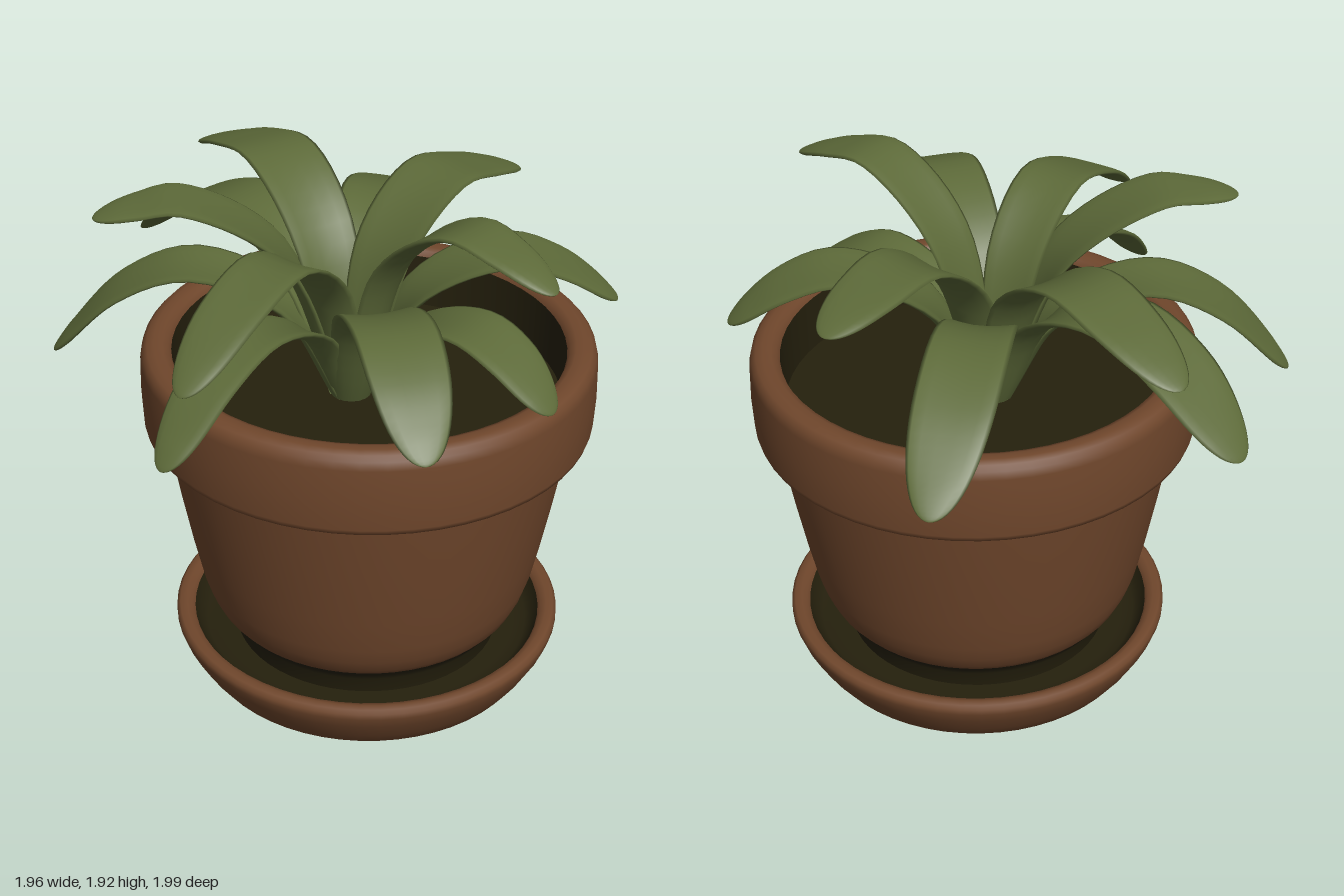
import * as THREE from 'three';

const terracotta = new THREE.MeshStandardMaterial({ color: 0x70472c });
terracotta.name = 'terracotta';
const soilDark = new THREE.MeshStandardMaterial({ color: 0x25200d });
soilDark.name = 'dark soil';
const leafGreen = new THREE.MeshStandardMaterial({ color: 0x5d6a39 });
leafGreen.name = 'leaf green';

// Turned part from a profile of [radius, height] pairs
function turned(name, profile, material) {
  const points = profile.map(([r, y]) => new THREE.Vector2(r, y));
  const mesh = new THREE.Mesh(new THREE.LatheGeometry(points, 56), material);
  mesh.name = name;
  return mesh;
}

const CROWN = new THREE.Vector3(-0.02, 1.08, 0.12);
const RINGS = 30, SIDES = 14;

// Half width along the leaf: narrow neck, broad blade, blunt tip
function bladeWidth(t) {
  if (t < 0.65) return 0.42 + 0.58 * Math.sin((t / 0.65) * Math.PI / 2);
  return Math.max(0.02, Math.sqrt(1 - Math.pow((t - 0.65) / 0.35, 2.5)));
}

// Arching leaf: a cupped lens section swept from the crown over a peak to the tip
function leaf({ x, z, y, peak, at, width, bend = 0 }) {
  const dx = x - CROWN.x, dz = z - CROWN.z;
  const reach = Math.hypot(dx, dz);
  const out = new THREE.Vector3(dx / reach, 0, dz / reach);
  const side = new THREE.Vector3(-out.z, 0, out.x);
  const point = (f, h) => CROWN.clone().addScaledVector(out, f * reach)
    .addScaledVector(side, bend * Math.sin(f * Math.PI)).setY(h);
  const curve = new THREE.CatmullRomCurve3([
    point(0.03, CROWN.y),
    point(at * 0.42, CROWN.y + (peak - CROWN.y) * 0.74),
    point(at, peak),
    point((1 + at) / 2, y + (peak - y) * 0.74),
    point(1, y),
  ]);
  const positions = [], index = [];
  for (let i = 0; i <= RINGS; i++) {
    // Rings gather towards the tip for a clean round end
    const t = Math.sin((i / RINGS) * Math.PI / 2);
    const c = curve.getPointAt(t), tangent = curve.getTangentAt(t);
    const normal = side.clone().cross(tangent).normalize();
    const w = bladeWidth(t) * width / 2;
    const thick = 0.017 * Math.min(1, bladeWidth(t) * 1.6);
    const cup = 0.38 * (1 - t);
    for (let j = 0; j < SIDES; j++) {
      const a = (j / SIDES) * Math.PI * 2;
      const p = c.clone()
        .addScaledVector(side, w * Math.cos(a))
        .addScaledVector(normal, thick * Math.sin(a) + cup * w * (Math.cos(a) ** 2 - 0.5));
      positions.push(p.x, p.y, p.z);
      if (i < RINGS) {
        const k = (j + 1) % SIDES, r = i * SIDES, s = r + SIDES;
        index.push(r + j, s + j, r + k, s + j, s + k, r + k);
      }
    }
  }
  // Close the tip
  const last = RINGS * SIDES;
  for (let j = 1; j < SIDES - 1; j++) index.push(last, last + j, last + j + 1);
  const geometry = new THREE.BufferGeometry();
  geometry.setAttribute('position', new THREE.Float32BufferAttribute(positions, 3));
  geometry.setIndex(index);
  geometry.computeVertexNormals();
  const mesh = new THREE.Mesh(geometry, leafGreen);
  mesh.name = 'leaf';
  return mesh;
}

export function createModel() {
  const model = new THREE.Group();
  model.name = 'pottedPlant';

  const pot = new THREE.Group();
  pot.name = 'pot';
  pot.position.set(0.02, 0, 0.167);
  model.add(pot);

  // Saucer with a dark hollow
  pot.add(turned('saucer', [
    [0, 0], [0.55, 0], [0.575, 0.006], [0.605, 0.03], [0.645, 0.085], [0.685, 0.155],
    [0.702, 0.2], [0.702, 0.222], [0.69, 0.235], [0.665, 0.237], [0.645, 0.23], [0.635, 0.215],
  ], terracotta));
  pot.add(turned('saucerHollow', [
    [0.635, 0.215], [0.615, 0.175], [0.59, 0.16], [0.55, 0.155], [0, 0.155],
  ], soilDark));

  // Pot body with a dark foot
  pot.add(turned('potFoot', [[0.48, 0.15], [0.495, 0.22], [0.515, 0.25], [0.535, 0.275]], soilDark));
  pot.add(turned('potBody', [
    [0.535, 0.275], [0.56, 0.305], [0.584, 0.355], [0.605, 0.42], [0.634, 0.55],
    [0.671, 0.74], [0.703, 0.92], [0.721, 1.04],
  ], terracotta));

  // Thick rolled rim
  pot.add(turned('potRim', [
    [0.7, 1.03], [0.77, 1.026], [0.785, 1.031], [0.791, 1.05], [0.797, 1.16], [0.795, 1.28],
    [0.788, 1.31], [0.772, 1.327], [0.747, 1.335], [0.717, 1.333], [0.697, 1.325], [0.687, 1.305],
  ], terracotta));
  pot.add(turned('innerWall', [[0.687, 1.305], [0.682, 1.2], [0.677, 1.11]], soilDark));
  pot.add(turned('soil', [[0.678, 1.11], [0.4, 1.11], [0, 1.11]], soilDark));

  // Short rounded stem joining the leaves
  const stem = new THREE.Mesh(new THREE.CapsuleGeometry(0.07, 0.12, 6, 16), leafGreen);
  stem.name = 'stem';
  stem.position.set(CROWN.x, 1.16, CROWN.z);
  model.add(stem);

  // Leaves: tip position, peak height, where the peak falls, blade width, sideways bend
  const plant = new THREE.Group();
  plant.name = 'leaves';
  [
    { x: 0.11, z: -1.0, y: 1.34, peak: 1.65, at: 0.5, width: 0.31 },
    { x: 0.31, z: -0.88, y: 1.67, peak: 1.81, at: 0.5, width: 0.28, bend: 0.02 },
    { x: -0.64, z: -0.73, y: 1.23, peak: 1.58, at: 0.52, width: 0.28 },
    { x: -0.66, z: -0.47, y: 1.83, peak: 1.87, at: 0.66, width: 0.27, bend: 0.02 },
    { x: 0.97, z: -0.38, y: 1.33, peak: 1.64, at: 0.45, width: 0.28, bend: -0.03 },
    { x: 0.8, z: 0.18, y: 1.72, peak: 1.81, at: 0.5, width: 0.29 },
    { x: 0.61, z: 0.79, y: 1.47, peak: 1.65, at: 0.57, width: 0.29 },
    { x: -0.04, z: 0.99, y: 1.81, peak: 1.905, at: 0.56, width: 0.23 },
    { x: 0.01, z: 0.97, y: 1.34, peak: 1.54, at: 0.58, width: 0.26 },
    { x: -0.66, z: 0.98, y: 1.46, peak: 1.69, at: 0.57, width: 0.28 },
    { x: -0.98, z: 0.14, y: 1.24, peak: 1.54, at: 0.5, width: 0.23 },
    { x: -0.96, z: 0.22, y: 1.54, peak: 1.78, at: 0.43, width: 0.25 },
  ].forEach((spec) => plant.add(leaf(spec)));
  model.add(plant);

  return model;
}
